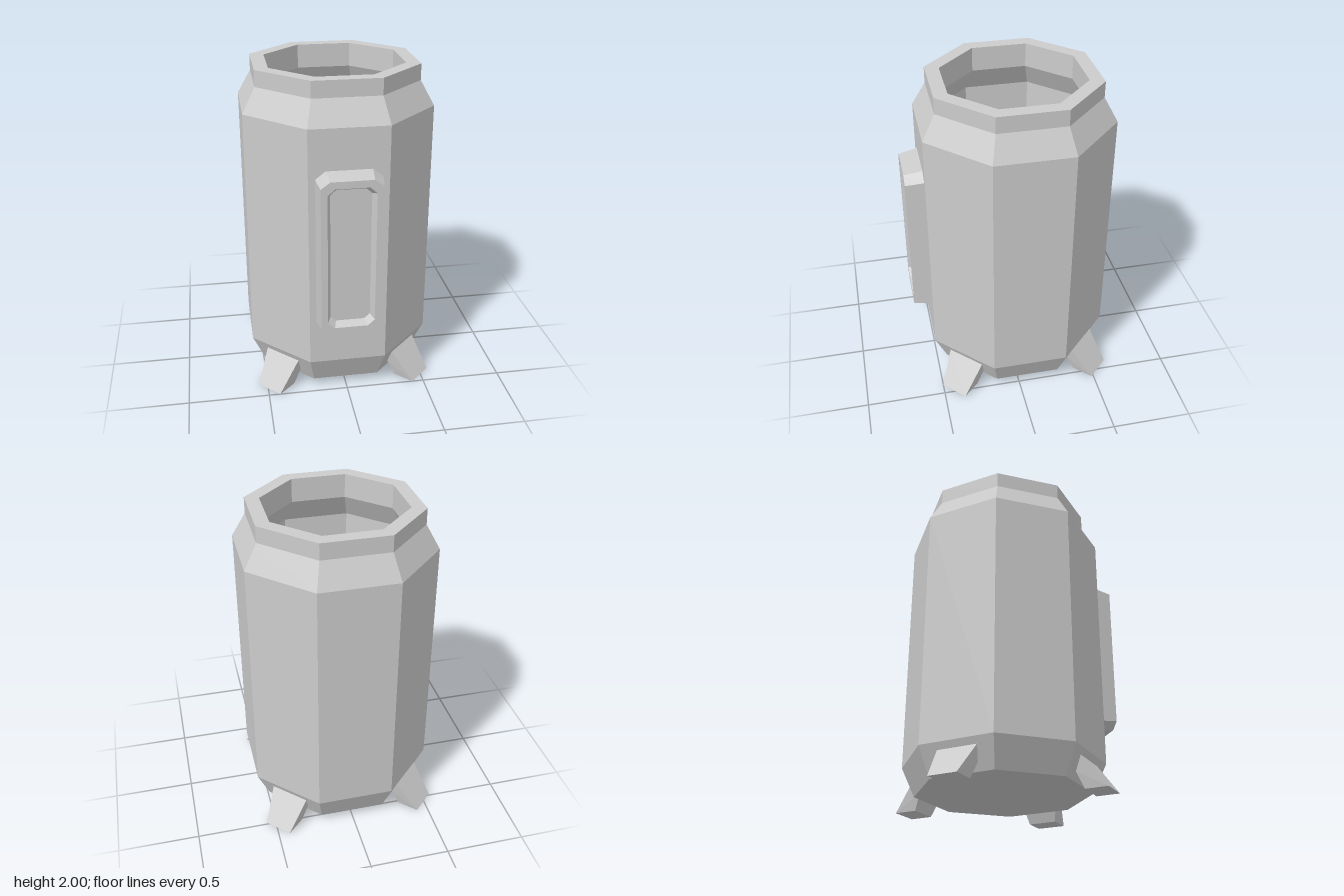
import * as THREE from 'three';

const AXIS_Z = -0.057; // the body sits slightly behind centre, the hatch projects forward

const grey = () => new THREE.MeshStandardMaterial({ color: 0xcccccc, flatShading: true });

function addMesh(parent, geometry, name) {
  const mesh = new THREE.Mesh(geometry, grey());
  mesh.name = name;
  parent.add(mesh);
  return mesh;
}

// Skins closed rings (counter-clockwise seen from +z, running towards +z) with optional caps
function loft(rings, capStart, capEnd) {
  const pos = [];
  const tri = (a, b, c) => pos.push(...a, ...b, ...c);
  const n = rings[0].length;
  for (let r = 0; r < rings.length - 1; r++) {
    for (let i = 0; i < n; i++) {
      const j = (i + 1) % n;
      const a = rings[r], b = rings[r + 1];
      tri(a[i], a[j], b[j]);
      tri(a[i], b[j], b[i]);
    }
  }
  const first = rings[0], last = rings[rings.length - 1];
  for (let i = 1; i < n - 1; i++) {
    if (capStart) tri(first[0], first[i + 1], first[i]);
    if (capEnd) tri(last[0], last[i], last[i + 1]);
  }
  const g = new THREE.BufferGeometry();
  g.setAttribute('position', new THREE.Float32BufferAttribute(pos, 3));
  g.computeVertexNormals();
  return g;
}

// Rectangle ring with cut corners
function cutRect(halfW, y0, y1, cutX, cutY, z) {
  const x = halfW - cutX;
  return [
    [-x, y0, z], [x, y0, z], [halfW, y0 + cutY, z], [halfW, y1 - cutY, z],
    [x, y1, z], [-x, y1, z], [-halfW, y1 - cutY, z], [-halfW, y0 + cutY, z],
  ];
}

export function createModel() {
  const model = new THREE.Group();
  model.name = 'canister';

  // Hollow octagonal body: [apothem, height], up the outside and down the inside
  const profile = [
    [0, 0.05], [0.495, 0.05], [0.572, 0.23], [0.572, 1.75], [0.492, 1.9], [0.492, 2],
    [0.408, 2], [0.408, 1.85], [0.488, 1.7], [0.488, 0.27], [0.43, 0.13], [0, 0.13],
  ].map(([a, y]) => new THREE.Vector2(a / Math.cos(Math.PI / 8), y));
  const bodyGeo = new THREE.LatheGeometry(profile, 8, Math.PI / 8).toNonIndexed();
  bodyGeo.computeVertexNormals();
  addMesh(model, bodyGeo, 'body').position.z = AXIS_Z;

  // Raised frame with a recessed panel on the front face
  addMesh(model, loft([
    cutRect(0.197, 0.472, 1.5, 0.06, 0.048, 0.513),
    cutRect(0.181, 0.494, 1.477, 0.055, 0.04, 0.628),
    cutRect(0.142, 0.537, 1.433, 0.042, 0.038, 0.628),
    cutRect(0.12, 0.56, 1.41, 0.033, 0.03, 0.58),
  ], false, true), 'frontHatch');

  // Four splayed feet on the diagonals: [radius, height, half width]
  const section = [[0.516, 0.1, 0.113], [0.557, 0, 0.09], [0.698, 0, 0.09], [0.553, 0.19, 0.127]];
  const footGeo = loft([-1, 1].map(s => section.map(([r, y, w]) => [r, y, s * w])), true, true);
  for (let i = 0; i < 4; i++) {
    const foot = addMesh(model, footGeo, 'foot' + (i + 1));
    foot.position.z = AXIS_Z;
    foot.rotation.y = Math.PI / 4 + i * Math.PI / 2;
  }
  return model;
}
